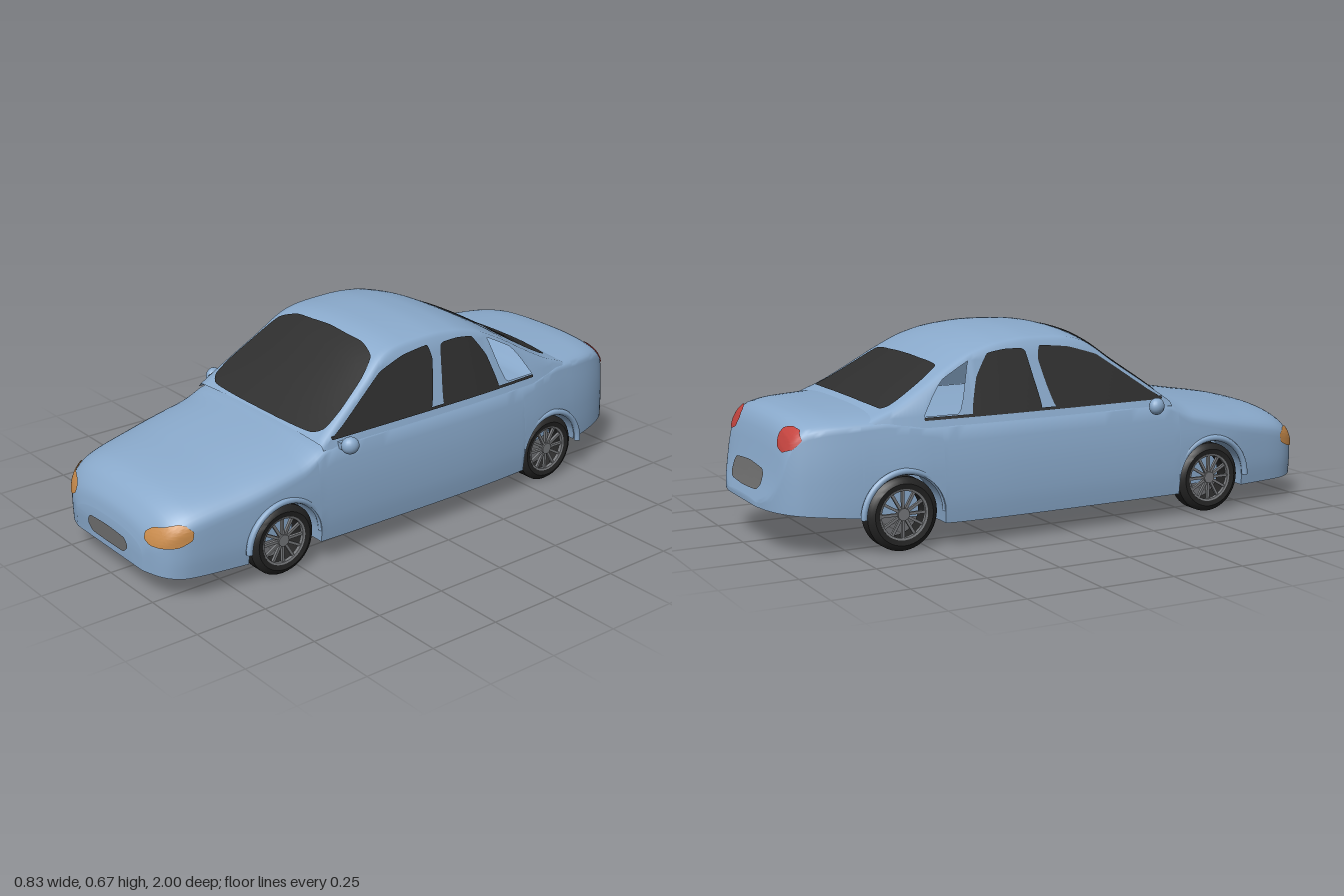
import * as THREE from 'three';
import { toCreasedNormals } from 'three/addons/utils/BufferGeometryUtils.js';

const mat = (name, color) => new THREE.MeshStandardMaterial({ name, color, side: THREE.DoubleSide });

// Smooth monotone interpolation through [z, value] keys, ascending in z
function curve(keys) {
  const n = keys.length;
  const s = i => (keys[i + 1][1] - keys[i][1]) / (keys[i + 1][0] - keys[i][0]);
  const m = keys.map((_, i) => {
    if (i === 0) return s(0);
    if (i === n - 1) return s(n - 2);
    const a = s(i - 1), b = s(i);
    return a * b <= 0 ? 0 : 2 * a * b / (a + b);
  });
  return z => {
    if (z <= keys[0][0]) return keys[0][1];
    if (z >= keys[n - 1][0]) return keys[n - 1][1];
    let i = 0;
    while (z > keys[i + 1][0]) i++;
    const w = keys[i + 1][0] - keys[i][0], t = (z - keys[i][0]) / w, u = 1 - t;
    return keys[i][1] * (1 + 2 * t) * u * u + m[i] * w * t * u * u
      + keys[i + 1][1] * t * t * (3 - 2 * t) - m[i + 1] * w * t * t * u;
  };
}

// Body profiles along the length
const halfWidth = curve([[-1, .13], [-.985, .2], [-.95, .265], [-.9, .305], [-.8, .34], [-.7, .358], [-.5, .38],
  [-.2, .39], [.2, .385], [.6, .37], [.8, .345], [.9, .325], [.95, .3], [.98, .262], [1, .2]]);
const deck = curve([[-1, .165], [-.98, .22], [-.96, .29], [-.94, .37], [-.92, .41], [-.88, .435], [-.8, .445],
  [-.65, .447], [-.58, .43], [-.5, .41], [.4, .41], [.45, .403], [.7, .362], [.88, .33], [.94, .303],
  [.97, .272], [.99, .24], [1, .2]]);
const shoulder = curve([[-1, .01], [-.96, .06], [-.9, .06], [-.65, .05], [-.5, .025], [.35, .025], [.5, .08],
  [.9, .1], [.98, .09], [1, .06]]);
const floorY = curve([[-1, .145], [-.72, .12], [-.5, .085], [-.4, .08], [.9, .08], [1, .09]]);
const tumble = curve([[.08, .985], [.15, 1], [.25, .99], [.33, .965], [.41, .925]]);
const roof = curve([[-.7, .432], [-.66, .45], [-.6, .475], [-.5, .53], [-.4, .588], [-.3, .635], [-.2, .659],
  [-.1, .667], [0, .664], [.05, .659], [.1, .645], [.2, .575], [.3, .5], [.41, .41]]);
const crown = curve([[-.7, .02], [-.5, .025], [.2, .025], [.41, .01]]);
// Upper and lower edge of the open quarter window
const holeTop = curve([[-.51, .425], [-.46, .5], [-.42, .545], [-.38, .575], [-.335, .585]]);
const holeLow = curve([[-.51, .424], [-.395, .425], [-.335, .585]]);
const HOLE = [-.51, -.335], WHEELS = [.57, -.59], ARCH = .135;

function archY(z) {
  for (const c of WHEELS) {
    const d = Math.abs(z - c);
    if (d <= ARCH) return .12 + Math.sqrt(Math.max(0, ARCH * ARCH - d * d));
  }
  return 0;
}

// Skin between mirrored half-sections, ordered from front to back
function loft(zs, half, closed, skip = () => false) {
  const pos = [], idx = [];
  let n = 0;
  for (const z of zs) {
    const h = half(z);
    const ring = [...h, ...h.slice(closed ? 1 : 0, -1).reverse().map(([x, y]) => [-x, y])];
    n = ring.length;
    ring.forEach(([x, y]) => pos.push(x, y, z));
  }
  const cols = closed ? n : n - 1;
  for (let i = 0; i < zs.length - 1; i++) for (let j = 0; j < cols; j++) {
    if (skip(zs[i], zs[i + 1], Math.min(j, cols - 1 - j))) continue;
    const k = (j + 1) % n, a = i * n + j, b = i * n + k, d = a + n, c = b + n;
    idx.push(a, d, c, a, c, b);
  }
  if (closed) for (const [i, front] of [[0, true], [zs.length - 1, false]]) {
    const y = (pos[i * n * 3 + 1] + deck(zs[i])) / 2, center = pos.length / 3;
    pos.push(0, y, zs[i]);
    for (let j = 0; j < n; j++) {
      const a = i * n + j, b = i * n + (j + 1) % n;
      idx.push(center, front ? a : b, front ? b : a);
    }
  }
  const g = new THREE.BufferGeometry();
  g.setAttribute('position', new THREE.Float32BufferAttribute(pos, 3));
  g.setIndex(idx);
  return toCreasedNormals(g, 1.0);
}

function bodySection(z) {
  const w = halfWidth(z), b = floorY(z), a = Math.max(b, archY(z)), top = deck(z), h = shoulder(z), ys = top - h;
  const p = [[0, b], [.35 * w, b], [.7 * w, b], [.7 * w, a]];
  for (let i = 0; i < 7; i++) {
    const y = a + (ys - a) * i / 7;
    p.push([w * tumble(y), y]);
  }
  for (let i = 0; i <= 14; i++) {
    const t = i / 14 * Math.PI / 2;
    p.push([i === 14 ? 0 : w * tumble(ys) * Math.cos(t) ** .8, ys + h * Math.sin(t) ** .8]);
  }
  return p;
}

function cabinSection(z) {
  const c = roof(z), e = Math.max(.39, c - crown(z)), w = halfWidth(z) * .915;
  const x = y => w - (y - .41) * .33;
  const rows = [.385, Math.min(holeLow(z), e - .014), Math.min(holeTop(z), e - .013), e - .012]
    .map(y => Math.max(.385, y));
  const p = rows.map(y => [x(y), y]), xe = x(e) - .008;
  for (let i = 0; i <= 12; i++) {
    const u = 1 - i / 12;
    p.push([xe * u, c - (c - e) * u ** 2.4]);
  }
  return p;
}

const mirrorOutline = half => [...half, ...half.filter(p => p[0] !== 0).reverse().map(([x, y]) => [-x, y])];

export function createModel() {
  const car = new THREE.Group();
  car.name = 'car';
  const paint = mat('blue paint', 0x8aaacc), glass = mat('dark glass', 0x2e2e2e), amber = mat('amber lamp', 0xc98b4b),
    red = mat('red lamp', 0xc4443f), grey = mat('grey grille', 0x6e6e6e), rubber = mat('black rubber', 0x242424),
    metal = mat('wheel metal', 0x77797c);
  const add = (name, geo, m, parent = car) => {
    const mesh = new THREE.Mesh(geo, m);
    mesh.name = name;
    parent.add(mesh);
    return mesh;
  };

  // Lower body with wheel arches, and hollow cabin with open quarter windows
  const zs = [];
  for (let i = 0; i <= 90; i++) zs.push(Math.sin((i / 90 - .5) * Math.PI));
  for (const c of WHEELS) {
    for (let i = 0; i <= 20; i++) zs.push(c + ARCH * Math.cos(i / 20 * Math.PI));
    zs.push(c + ARCH + .001, c - ARCH - .001);
  }
  const body = add('body', loft(zs.sort((a, b) => b - a), bodySection, true), paint);
  const cz = [...HOLE, -.395];
  for (let i = 0; i <= 74; i++) cz.push(.41 - i * .015);
  const cabin = add('cabin', loft(cz.sort((a, b) => b - a), cabinSection, false,
    (z0, z1, j) => j === 1 && z0 <= HOLE[1] && z1 >= HOLE[0]), paint);

  // Thin plate: an outline projected onto the body along one axis
  const ray = new THREE.Raycaster();
  function plate(name, m, outline, axis, sign = 1, tension = .25) {
    const pts = new THREE.CatmullRomCurve3(outline.map(([u, v]) => new THREE.Vector3(u, v, 0)), true, 'catmullrom', tension)
      .getPoints(outline.length * 6).slice(0, -1);
    const n = pts.length, R = 7, pos = [], idx = [];
    const mid = pts.reduce((s, p) => s.add(p), new THREE.Vector3()).divideScalar(n);
    const dir = axis === 'x' ? new THREE.Vector3(-sign, 0, 0) : axis === 'y' ? new THREE.Vector3(0, -1, 0)
      : new THREE.Vector3(0, 0, -sign);
    let last = null;
    const project = (u, v) => {
      const o = axis === 'x' ? [3 * sign, v, u] : axis === 'y' ? [u, 3, v] : [u, v, 3 * sign];
      ray.set(new THREE.Vector3(...o), dir);
      const hit = ray.intersectObjects([body, cabin], false)[0];
      if (hit) {
        const nrm = hit.face.normal.clone();
        if (nrm.dot(dir) > 0) nrm.negate();
        last = hit.point.clone().addScaledVector(nrm, .004);
      }
      if (last) pos.push(last.x, last.y, last.z); else pos.push(...o.map(c => c / 3));
    };
    for (let r = 0; r <= R; r++) for (const p of pts) {
      const q = mid.clone().lerp(p, r / R);
      project(q.x, q.y);
    }
    const flip = (axis === 'z') === (sign > 0);
    for (let r = 0; r < R; r++) for (let j = 0; j < n; j++) {
      const a = r * n + j, b = r * n + (j + 1) % n, c = b + n, d = a + n;
      if (flip) idx.push(a, d, c, a, c, b); else idx.push(a, c, d, a, b, c);
    }
    const g = new THREE.BufferGeometry();
    g.setAttribute('position', new THREE.Float32BufferAttribute(pos, 3));
    g.setIndex(idx);
    add(name, toCreasedNormals(g, 1.0), m);
  }

  // Windscreen, rear window, grille and rear panel
  plate('windscreen', glass, mirrorOutline([[0, .415], [.14, .415], [.27, .417], [.308, .435], [.307, .48], [.28, .56],
    [.25, .608], [.17, .633], [0, .642]]), 'z', 1, .3);
  plate('rearWindow', glass, mirrorOutline([[0, -.42], [.12, -.42], [.235, -.418], [.265, -.5], [.284, -.6], [.27, -.632],
    [.15, -.645], [0, -.648]]), 'y');
  plate('grille', grey, mirrorOutline([[0, .114], [.09, .116], [.117, .135], [.118, .15], [.1, .168], [0, .173]]), 'z');
  plate('rearPanel', grey, mirrorOutline([[0, .19], [.11, .195], [.135, .215], [.135, .245], [.115, .262], [0, .27]]), 'z', -1);

  for (const s of [1, -1]) {
    const side = s > 0 ? 'left' : 'right';
    const flipX = pts => pts.map(([x, y]) => [x * s, y]);
    // Lamps
    plate(side + 'Headlamp', amber, flipX([[.207, .225], [.21, .203], [.235, .19], [.27, .188], [.31, .192], [.325, .21],
      [.325, .24], [.312, .256], [.295, .26], [.265, .25], [.23, .243]]), 'z');
    plate(side + 'TailLamp', red, flipX([[.18, .375], [.195, .345], [.235, .332], [.275, .345], [.288, .375], [.265, .4],
      [.225, .408], [.19, .4]]), 'z', -1);
    // Side glass and sill strip
    plate(side + 'FrontWindow', glass, [[.365, .417], [.32, .448], [.25, .497], [.14, .573], [.035, .605], [-.07, .615],
      [-.082, .57], [-.065, .49], [-.04, .418], [.08, .417], [.22, .417]], 'x', s, .15);
    plate(side + 'RearWindow', glass, [[-.095, .418], [-.11, .52], [-.125, .6], [-.14, .611], [-.2, .612], [-.265, .602],
      [-.315, .53], [-.345, .418], [-.22, .418]], 'x', s, .15);
    const strip = Array.from({ length: 11 }, (_, i) => .37 - i * .088);
    plate(side + 'SillStrip', glass, [...strip.map(z => [z, .42]), ...strip.reverse().map(z => [z, .411])], 'x', s, .1);

    // Door mirror
    const mirror = new THREE.Group();
    mirror.name = side + 'Mirror';
    const shell = add('mirrorShell', new THREE.SphereGeometry(1, 20, 14), paint, mirror);
    shell.scale.set(.024, .029, .03);
    shell.position.x = s * .388;
    shell.rotation.y = s * -.4;
    const arm = add('mirrorArm', new THREE.BoxGeometry(.04, .022, .02), paint, mirror);
    arm.position.set(s * .363, -.004, .012);
    mirror.position.set(0, .395, .328);
    car.add(mirror);

    // Wheels and arch lips
    WHEELS.forEach((z, i) => {
      const wheel = new THREE.Group();
      wheel.name = side + (i ? 'RearWheel' : 'FrontWheel');
      const turned = pts => toCreasedNormals(
        new THREE.LatheGeometry(pts.map(p => new THREE.Vector2(...p)), 40).rotateZ(-Math.PI / 2), .5);
      add('tyre', turned([[.082, -.036], [.1, -.04], [.112, -.034], [.12, -.024], [.12, .024], [.112, .034], [.1, .04],
        [.082, .036], [.082, -.036]]), rubber, wheel);
      add('rim', turned([[.076, .022], [.083, .022], [.083, .037], [.076, .035], [.076, .022]]), metal, wheel);
      add('hub', new THREE.CylinderGeometry(.02, .02, .02, 20).rotateZ(Math.PI / 2).translate(.026, 0, 0), metal, wheel);
      for (let k = 0; k < 12; k++)
        add('spoke', new THREE.BoxGeometry(.01, .062, .009).translate(.026, .047, 0).rotateX(k * Math.PI / 6), metal, wheel);
      wheel.rotation.y = s > 0 ? 0 : Math.PI;
      wheel.position.set(s * .32, .12, z);
      car.add(wheel);
      const lip = add('archLip', new THREE.TorusGeometry(ARCH + .006, .011, 8, 32, Math.PI), paint);
      lip.rotation.y = Math.PI / 2;
      lip.position.set(s * (halfWidth(z) - .006), .12, z);
    });
  }
  return car;
}
